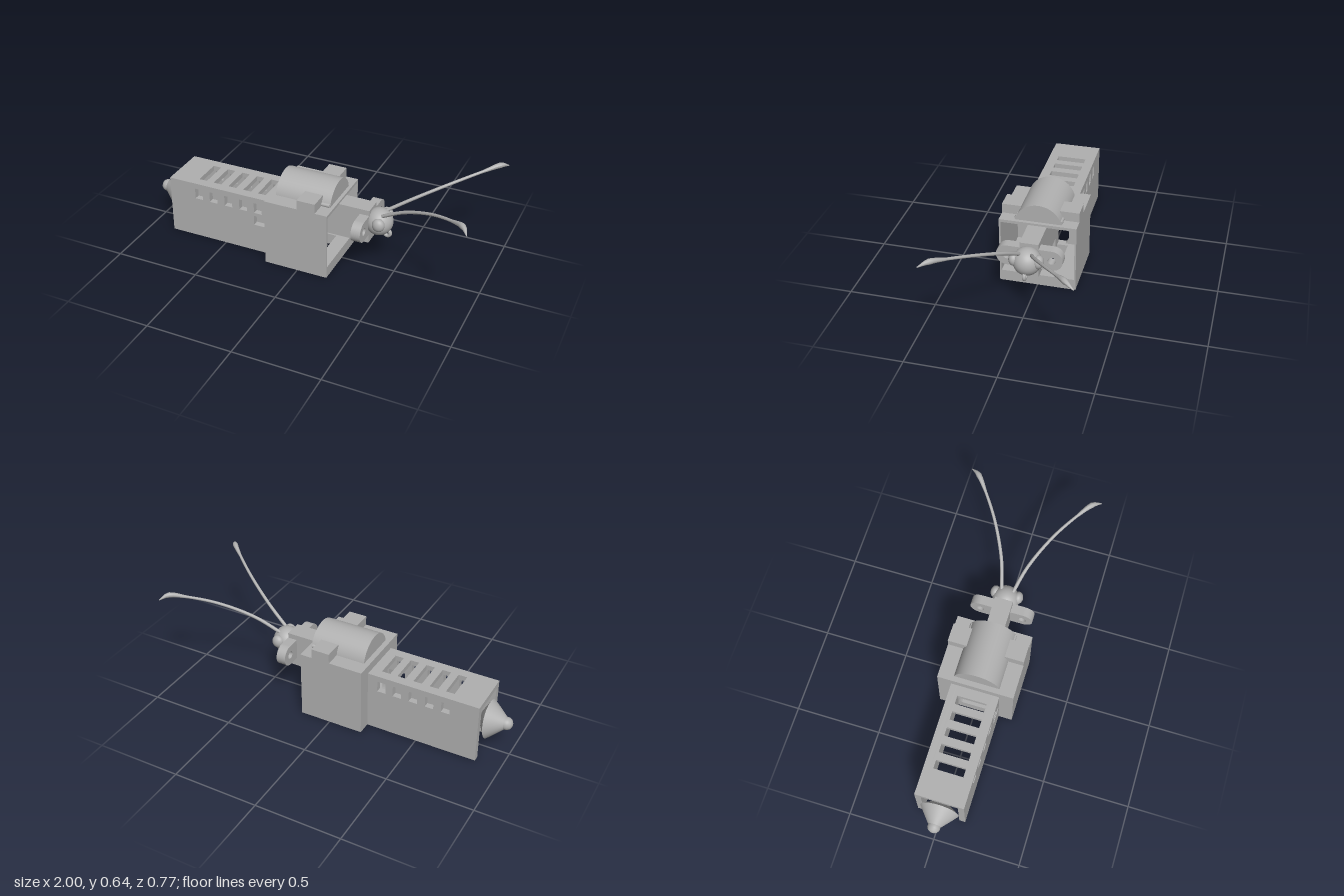
import * as THREE from 'three';

export function createModel() {
  const model = new THREE.Group();
  const grey = new THREE.MeshStandardMaterial({ color: 0xb0b0b0 });
  grey.name = 'plain grey';

  const add = (name, geometry, x = 0, y = 0, z = 0) => {
    const mesh = new THREE.Mesh(geometry, grey);
    mesh.name = name;
    mesh.position.set(x, y, z);
    model.add(mesh);
    return mesh;
  };
  // Box given by its limits on each axis
  const block = (name, x0, x1, y0, y1, z0, z1) =>
    add(name, new THREE.BoxGeometry(x1 - x0, y1 - y0, z1 - z0),
      (x0 + x1) / 2, (y0 + y1) / 2, (z0 + z1) / 2);
  const rect = (a0, a1, b0, b1) => new THREE.Shape([
    new THREE.Vector2(a0, b0), new THREE.Vector2(a1, b0),
    new THREE.Vector2(a1, b1), new THREE.Vector2(a0, b1)]);
  const circle = (a, b, r) => {
    const p = new THREE.Path();
    p.absarc(a, b, r, 0, Math.PI * 2, true);
    return p;
  };
  const plate = (shape, depth, holes = []) => {
    shape.holes.push(...holes);
    return new THREE.ExtrudeGeometry(shape, { depth, bevelEnabled: false, curveSegments: 32 });
  };

  // Rear body: an open-bottomed channel with five windows per face
  const slots = [-0.665, -0.57, -0.473, -0.377, -0.283];
  const windows = () => slots.map((x) => rect(x - 0.025, x + 0.025, 0.255, 0.32));
  const notch = rect(-0.31, -0.21, 0.175, 0.235);
  add('rearLeftWall', plate(rect(-0.855, -0.2, 0, 0.355), 0.035, [...windows(), notch]), 0, 0, 0.105);
  add('rearRightWall', plate(rect(-0.855, -0.2, 0, 0.355), 0.035, windows()), 0, 0, -0.14);
  const roofSlots = slots.map((x) => rect(x - 0.025, x + 0.025, -0.085, 0.085));
  add('rearRoof', plate(rect(-0.855, -0.2, -0.105, 0.105), 0.03, roofSlots).rotateX(Math.PI / 2), 0, 0.355, 0);

  // Front housing: open at the head end, round hole in its back wall
  for (const s of [-1, 1]) {
    block('housingSide', -0.2, 0.18, 0, 0.405, s > 0 ? 0.21 : -0.22, s > 0 ? 0.22 : -0.21);
  }
  block('housingRoof', -0.2, 0.18, 0.388, 0.405, -0.21, 0.21);
  add('housingFloor', plate(rect(-0.2, 0.18, -0.21, 0.21), 0.067,
    [rect(-0.15, 0.1, -0.1, 0.1)]).rotateX(Math.PI / 2), 0, 0.067, 0);
  add('housingBackWall', plate(rect(-0.21, 0.21, 0.02, 0.39), 0.03,
    [circle(0, 0.13, 0.103)]).rotateY(Math.PI / 2), -0.2, 0, 0);

  // Half drum on the roof, with holding tabs and pins
  add('drum', new THREE.CylinderGeometry(0.135, 0.135, 0.33, 48, 1, false, 0.18, Math.PI - 0.36)
    .rotateZ(Math.PI / 2), -0.005, 0.375, 0);
  for (const s of [-1, 1]) {
    const inner = s * 0.11, outer = s * 0.22;
    block('drumTab', 0, 0.108, 0.4, 0.462, Math.min(inner, outer), Math.max(inner, outer));
    add('drumPin', new THREE.CylinderGeometry(0.012, 0.012, 0.155, 16).rotateZ(Math.PI / 2),
      0.078, 0.414, s * 0.124);
  }

  // Neck with a post below it and a rounded cross plate
  block('neck', -0.17, 0.36, 0.185, 0.392, -0.053, 0.053);
  block('neckPost', -0.18, -0.1, 0.06, 0.186, -0.036, 0.036);
  const stadium = new THREE.Shape();
  stadium.absarc(0.125, 0.3, 0.061, -Math.PI / 2, Math.PI / 2, false);
  stadium.absarc(-0.125, 0.3, 0.061, Math.PI / 2, Math.PI * 1.5, false);
  add('crossPlate', plate(stadium, 0.055,
    [circle(0.125, 0.3, 0.022), circle(-0.125, 0.3, 0.022)]).rotateY(Math.PI / 2), 0.305, 0, 0);

  // Head, eyes and curled mouth
  add('head', new THREE.SphereGeometry(0.079, 40, 28), 0.4, 0.309, 0);
  for (const s of [-1, 1]) {
    add('eye', new THREE.SphereGeometry(1, 28, 20), 0.42, 0.325, s * 0.068).scale.set(0.036, 0.039, 0.029);
  }
  add('mouth', new THREE.TorusGeometry(0.017, 0.011, 14, 28), 0.45, 0.245, 0);

  // Antennae: thin bent tubes ending in tapered clubs
  const path = [[0.41, 0.355, 0.028], [0.57, 0.455, 0.08], [0.75, 0.545, 0.175],
    [0.89, 0.6, 0.275], [0.965, 0.623, 0.338], [0.996, 0.606, 0.382]];
  const radiusAt = (u) => {
    if (u < 0.78) return 0.0105 - 0.003 * u;
    if (u < 0.92) return THREE.MathUtils.lerp(0.0082, 0.016, (u - 0.78) / 0.14);
    return THREE.MathUtils.lerp(0.016, 0.003, (u - 0.92) / 0.08);
  };
  for (const s of [-1, 1]) {
    const curve = new THREE.CatmullRomCurve3(
      path.map(([x, y, z]) => new THREE.Vector3(x, y, s * z)), false, 'centripetal');
    const rings = 36, sides = 12;
    const tube = new THREE.TubeGeometry(curve, rings, 1, sides);
    const p = tube.attributes.position, v = new THREE.Vector3();
    for (let i = 0; i < p.count; i++) {
      const u = Math.floor(i / (sides + 1)) / rings;
      const c = curve.getPointAt(u);
      v.fromBufferAttribute(p, i).sub(c).multiplyScalar(radiusAt(u)).add(c);
      p.setXYZ(i, v.x, v.y, v.z);
    }
    tube.computeVertexNormals();
    add('antenna', tube);
    const tip = path[path.length - 1];
    add('antennaTip', new THREE.SphereGeometry(0.0032, 10, 8), tip[0], tip[1], s * tip[2]);
  }

  // Tail cone: rounded tip, wide rim, tapering back into the body
  const lathe = (points) => new THREE.LatheGeometry(
    points.map(([r, h]) => new THREE.Vector2(r, h)), 48).rotateZ(Math.PI / 2);
  const tail = new THREE.Group();
  tail.name = 'tail';
  const tailParts = {
    tailBack: [[0, -0.05], [0.045, -0.04], [0.11, 0]],
    tailCone: [[0.11, 0], [0.078, 0.04], [0.036, 0.09]],
    tailTip: [[0.036, 0.09], [0.035, 0.108], [0.026, 0.122], [0.013, 0.129], [0, 0.131]],
  };
  for (const [name, points] of Object.entries(tailParts)) {
    const mesh = new THREE.Mesh(lathe(points), grey);
    mesh.name = name;
    tail.add(mesh);
  }
  tail.position.set(-0.869, 0.195, 0);
  tail.rotation.z = -0.06;
  model.add(tail);

  return model;
}
